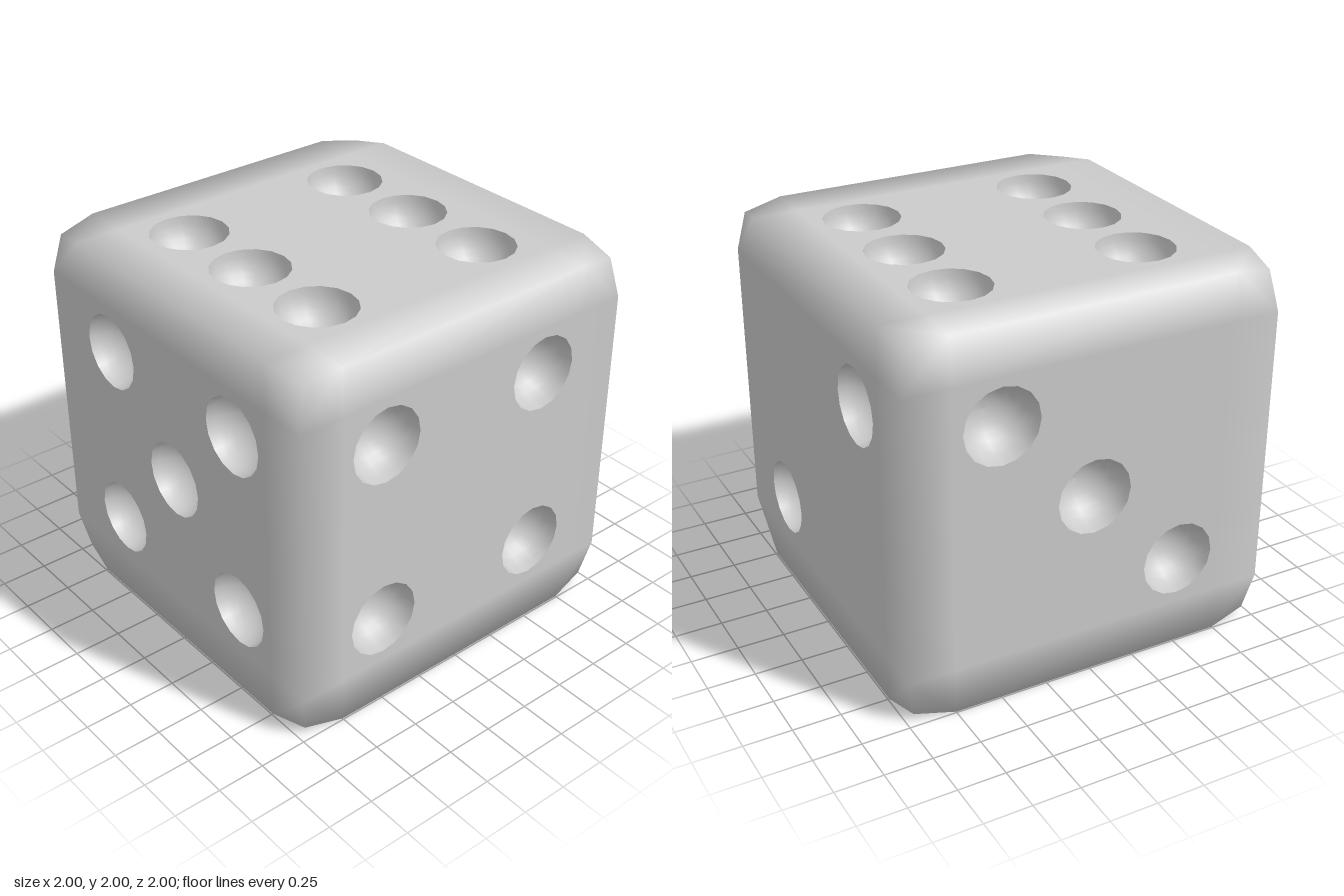
import * as THREE from 'three';

const material = new THREE.MeshStandardMaterial({ color: 0xcccccc });
const FLAT = 0.75;   // half width of the flat middle of each face
const PIP = 0.2;     // pip radius
const SIDES = 16;

// Each face: name, its right, up and outward axes, and pip centres (right, up)
const h = 0.5;
const diagonal = [[-h, h], [h, -h]];
const square = [[-h, h], [h, -h], [-h, -h], [h, h]];
const FACES = [
  ['front', [1, 0, 0], [0, 1, 0], [0, 0, 1], square],
  ['back', [-1, 0, 0], [0, 1, 0], [0, 0, -1], [...diagonal, [0, 0]]],
  ['right', [0, 0, -1], [0, 1, 0], [1, 0, 0], [[-h, -h], [h, h]]],
  ['left', [0, 0, 1], [0, 1, 0], [-1, 0, 0], [...square, [0, 0]]],
  ['top', [1, 0, 0], [0, 0, -1], [0, 1, 0], [...square, [-h, 0], [h, 0]]],
  ['bottom', [1, 0, 0], [0, 0, 1], [0, -1, 0], [[0, 0]]],
];

// Flat middle of a face with a round hole for every pip
function panelGeometry(pips) {
  const shape = new THREE.Shape([[-1, -1], [1, -1], [1, 1], [-1, 1]]
    .map(([x, y]) => new THREE.Vector2(x * FLAT, y * FLAT)));
  for (const [cx, cy] of pips) {
    const rim = [];
    for (let i = 0; i < SIDES; i++) {
      const a = -i / SIDES * Math.PI * 2;
      rim.push(new THREE.Vector2(cx + PIP * Math.cos(a), cy + PIP * Math.sin(a)));
    }
    shape.holes.push(new THREE.Path(rim));
  }
  return new THREE.ShapeGeometry(shape);
}

// Hemispherical hollow, opening toward +z
function bowlGeometry() {
  const profile = [];
  for (let i = 0; i <= 8; i++) {
    const a = i / 8 * Math.PI / 2;
    profile.push(new THREE.Vector2(i === 8 ? 0 : PIP * Math.cos(a), -PIP * Math.sin(a)));
  }
  return new THREE.LatheGeometry(profile, SIDES).rotateX(Math.PI / 2);
}

// Border bands around a face: shared soft normals at edges, corners cut in
function borderGeometry(right, up, out) {
  const steps = [-1, -FLAT, FLAT, 1];
  const positions = [], normals = [], index = [];
  for (const v of steps) {
    for (const u of steps) {
      const p = [0, 1, 2].map(k => right[k] * u + up[k] * v + out[k]);
      const onEdge = p.map(c => Math.abs(c) > 0.99);
      const count = onEdge.filter(Boolean).length;
      const n = new THREE.Vector3(...p.map((c, k) => (onEdge[k] ? Math.sign(c) : 0))).normalize();
      const moved = p.map((c, k) => {
        if (count === 3) return c * 0.96;
        return count === 2 && onEdge[1] && onEdge[k] && k !== 1 ? c * 0.993 : c;
      });
      positions.push(...moved);
      normals.push(n.x, n.y, n.z);
    }
  }
  for (let j = 0; j < 3; j++) {
    for (let i = 0; i < 3; i++) {
      if (i === 1 && j === 1) continue; // the panel fills the middle
      const a = j * 4 + i, b = a + 1, d = a + 4, c = d + 1;
      if (i === j) index.push(a, b, d, b, c, d);
      else index.push(a, b, c, a, c, d);
    }
  }
  const geometry = new THREE.BufferGeometry();
  geometry.setAttribute('position', new THREE.Float32BufferAttribute(positions, 3));
  geometry.setAttribute('normal', new THREE.Float32BufferAttribute(normals, 3));
  geometry.setIndex(index);
  return geometry;
}

function addMesh(parent, name, geometry) {
  const mesh = new THREE.Mesh(geometry, material);
  mesh.name = name;
  parent.add(mesh);
  return mesh;
}

export function createModel() {
  const die = new THREE.Group();
  die.name = 'die';
  const bowl = bowlGeometry();

  for (const [name, right, up, out, pips] of FACES) {
    addMesh(die, name + 'Border', borderGeometry(right, up, out));

    // Panel and pips are laid out facing +z, then turned to the face
    const face = new THREE.Group();
    face.name = name + 'Face';
    const axes = [right, up, out].map(a => new THREE.Vector3(...a));
    face.quaternion.setFromRotationMatrix(new THREE.Matrix4().makeBasis(...axes));
    face.position.copy(axes[2]);
    addMesh(face, name + 'Panel', panelGeometry(pips));
    for (const [x, y] of pips) addMesh(face, name + 'Pip', bowl).position.set(x, y, 0);
    die.add(face);
  }

  die.position.y = 1;
  const model = new THREE.Group();
  model.name = 'model';
  model.add(die);
  return model;
}
